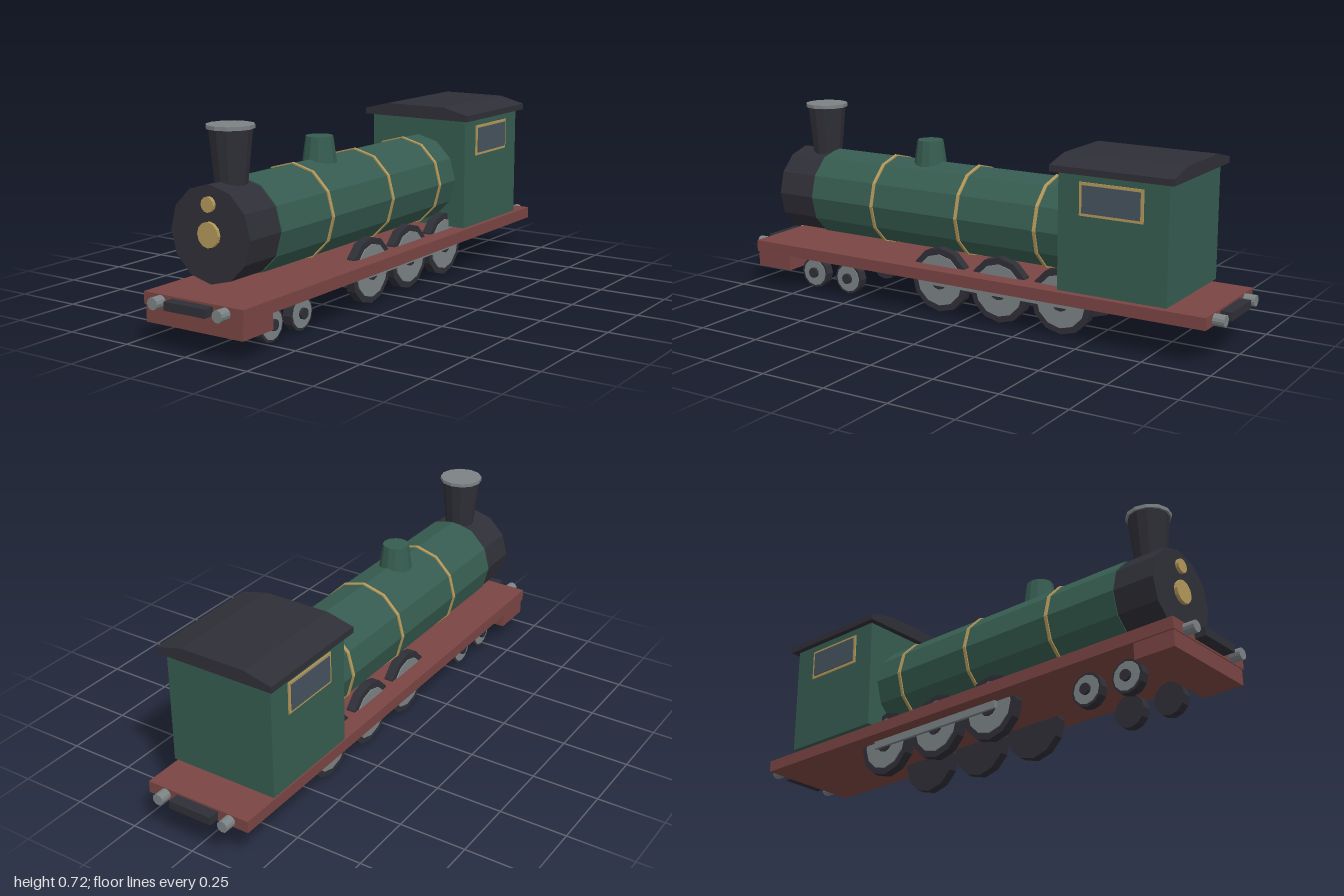
import * as THREE from 'three';

const mat = (name, color) => {
  const m = new THREE.MeshStandardMaterial({ color, flatShading: true });
  m.name = name;
  return m;
};

export function createModel() {
  const green = mat('green paint', 0x365c50);
  const red = mat('red frame', 0x7a4543);
  const dark = mat('dark iron', 0x2f2f37);
  const gold = mat('brass', 0xb4985a);
  const grey = mat('steel', 0x7c8385);
  const glass = mat('window glass', 0x46535f);

  const group = new THREE.Group();
  group.name = 'steamLocomotive';

  const add = (name, geometry, material, x, y, z) => {
    const mesh = new THREE.Mesh(geometry, material);
    mesh.name = name;
    mesh.position.set(x, y, z);
    group.add(mesh);
    return mesh;
  };
  // Box given by its extents
  const box = (name, material, x0, x1, y0, y1, z0, z1) =>
    add(name, new THREE.BoxGeometry(x1 - x0, y1 - y0, z1 - z0), material,
      (x0 + x1) / 2, (y0 + y1) / 2, (z0 + z1) / 2);
  // Twelve-sided cylinders along each axis
  const cylZ = (name, material, r, x, y, z0, z1) =>
    add(name, new THREE.CylinderGeometry(r, r, z1 - z0, 12).rotateX(Math.PI / 2), material,
      x, y, (z0 + z1) / 2);
  const cylX = (name, material, r, x0, x1, y, z) =>
    add(name, new THREE.CylinderGeometry(r, r, Math.abs(x1 - x0), 12).rotateZ(Math.PI / 2), material,
      (x0 + x1) / 2, y, z);
  const cone = (name, material, rTop, rBottom, y0, y1, z) =>
    add(name, new THREE.CylinderGeometry(rTop, rBottom, y1 - y0, 12), material, 0, (y0 + y1) / 2, z);

  // Running deck and front beam
  box('deck', red, -0.206, 0.206, 0.133, 0.177, -0.958, 0.958);
  box('frontBeam', red, -0.2, 0.2, 0.074, 0.133, 0.8, 0.955);

  // Buffers and couplings at both ends
  for (const end of [1, -1]) {
    const z0 = end > 0 ? 0.955 : -1, z1 = z0 + 0.045;
    box('coupling', dark, -0.085, 0.085, 0.14, 0.17, z0, z1);
    for (const side of [1, -1]) cylZ('buffer', grey, 0.021, side * 0.134, 0.154, z0, z1);
  }

  // Boiler, bands and smokebox
  const boilerY = 0.372;
  cylZ('boiler', green, 0.168, 0, boilerY, -0.41, 0.705);
  for (const z of [0.42, 0.043, -0.286]) cylZ('boilerBand', gold, 0.173, 0, boilerY, z - 0.006, z + 0.006);
  cylZ('smokebox', dark, 0.164, 0, boilerY, 0.705, 0.865);
  cylZ('smokeboxDoorBoss', gold, 0.043, 0, 0.373, 0.86, 0.878);
  cylZ('headlamp', gold, 0.026, 0, 0.472, 0.86, 0.878);

  // Chimney and steam dome
  cone('chimney', dark, 0.074, 0.053, 0.5, 0.705, 0.753);
  cone('chimneyCap', grey, 0.081, 0.081, 0.704, 0.717, 0.753);
  cone('steamDome', green, 0.049, 0.064, 0.51, 0.618, 0.262);

  // Cab with a faceted roof
  box('cab', green, -0.209, 0.209, 0.187, 0.61, -0.818, -0.404);
  const roof = new THREE.Shape([
    [-0.231, 0.607], [0.231, 0.607], [0.231, 0.63], [0.127, 0.656], [-0.127, 0.656], [-0.231, 0.63],
  ].map(([x, y]) => new THREE.Vector2(x, y)));
  add('cabRoof', new THREE.ExtrudeGeometry(roof, { depth: 0.462, bevelEnabled: false }), dark, 0, 0, -0.842);

  for (const s of [1, -1]) {
    const sideBox = (name, material, x0, x1, ...rest) =>
      box(name, material, Math.min(s * x0, s * x1), Math.max(s * x0, s * x1), ...rest);

    // Cab windows
    sideBox('windowFrame', gold, 0.208, 0.2135, 0.463, 0.58, -0.727, -0.487);
    sideBox('windowPane', glass, 0.21, 0.217, 0.473, 0.57, -0.716, -0.498);

    // Driving wheels joined by a coupling rod
    for (const z of [0.134, -0.123, -0.38]) {
      cylX('drivingWheel', dark, 0.122, s * 0.102, s * 0.137, 0.122, z);
      cylX('drivingWheelDisc', grey, 0.098, s * 0.13, s * 0.141, 0.122, z);
      cylX('drivingWheelHub', dark, 0.035, s * 0.135, s * 0.145, 0.122, z);
    }
    sideBox('couplingRod', grey, 0.143, 0.156, 0.104, 0.132, -0.42, 0.174);

    // Small leading wheels
    for (const z of [0.725, 0.561]) {
      cylX('leadingWheel', dark, 0.061, s * 0.102, s * 0.137, 0.063, z);
      cylX('leadingWheelDisc', grey, 0.052, s * 0.13, s * 0.14, 0.063, z);
      cylX('leadingWheelHub', dark, 0.02, s * 0.135, s * 0.151, 0.063, z);
    }
  }
  return group;
}
